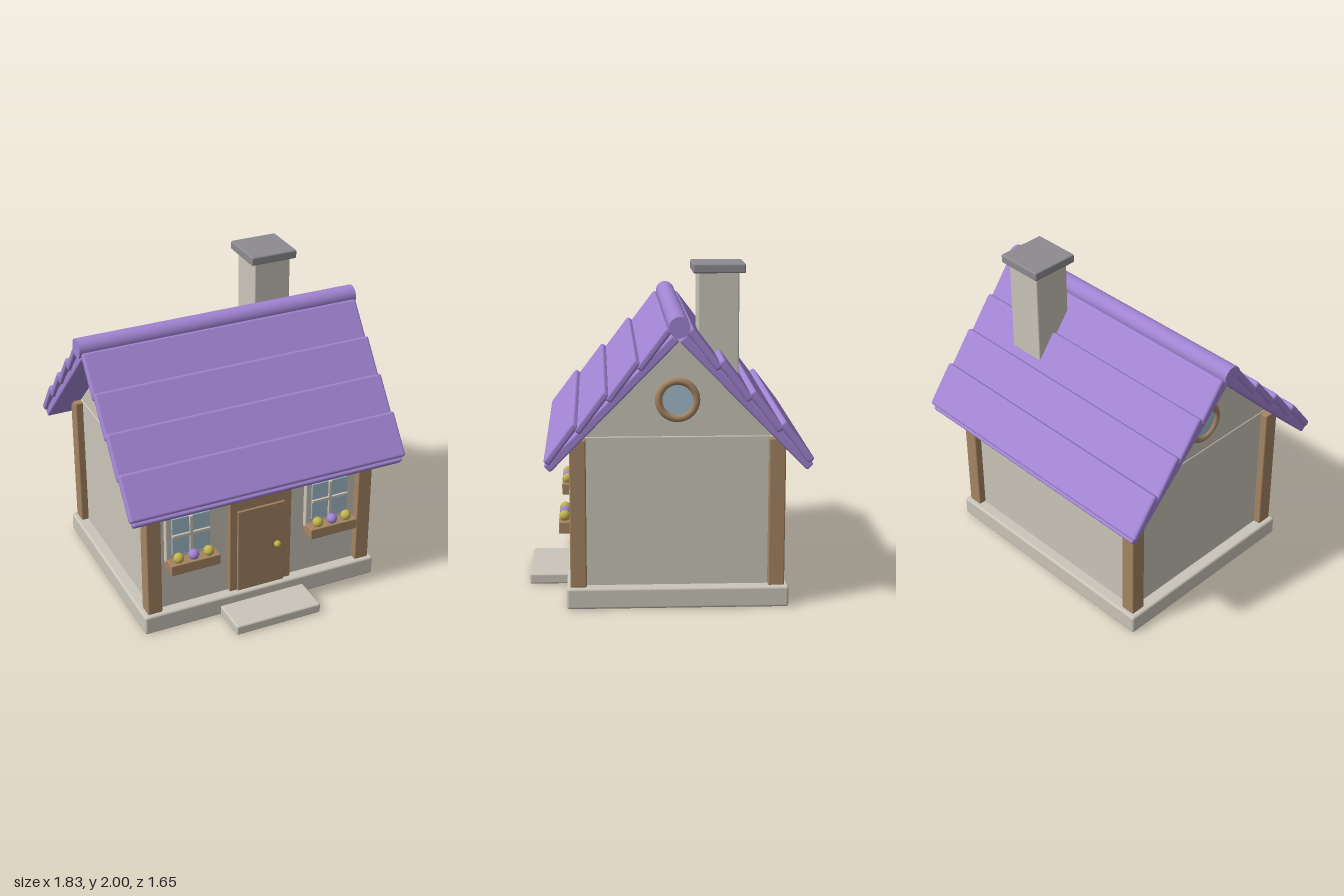
import * as THREE from 'three';
import { RoundedBoxGeometry } from 'three/addons/geometries/RoundedBoxGeometry.js';

const material = (name, color) => {
  const m = new THREE.MeshStandardMaterial({ color });
  m.name = name;
  return m;
};

export function createModel() {
  const house = new THREE.Group();
  house.name = 'cottage';
  const plaster = material('plaster', 0xcac5b9);
  const wood = material('wood', 0xa58463);
  const tile = material('roofTile', 0xa184d2);
  const glass = material('glass', 0xa3bccb);
  const slate = material('slate', 0x8d8b90);
  const yellow = material('yellow', 0xc2b44c);
  const CZ = -0.053; // ridge line depth

  const add = (name, geometry, mat, x, y, z, parent = house) => {
    const mesh = new THREE.Mesh(geometry, mat);
    mesh.name = name;
    mesh.position.set(x, y, z);
    parent.add(mesh);
    return mesh;
  };
  // Softly bevelled box given by its extents
  const box = (name, mat, [x0, x1], [y0, y1], [z0, z1], r = 0.008, parent = house) =>
    add(name, new RoundedBoxGeometry(x1 - x0, y1 - y0, z1 - z0, 2, r), mat,
      (x0 + x1) / 2, (y0 + y1) / 2, (z0 + z1) / 2, parent);

  // Base and doorstep
  box('foundation', plaster, [-0.785, 0.785], [0.005, 0.13], [-0.705, 0.595], 0.015);
  box('doorstep', plaster, [-0.285, 0.285], [0.005, 0.07], [0.55, 0.83], 0.012);

  // Walls and gable prism
  box('walls', plaster, [-0.71, 0.71], [0.12, 1.02], [CZ - 0.58, CZ + 0.58]);
  const triangle = new THREE.Shape([
    new THREE.Vector2(-0.575, 1.015), new THREE.Vector2(0.575, 1.015), new THREE.Vector2(0, 1.6),
  ]);
  const gable = new THREE.ExtrudeGeometry(triangle, { depth: 1.41, bevelEnabled: false });
  gable.translate(0, 0, -0.705).rotateY(Math.PI / 2);
  add('gables', gable, plaster, 0, 0, CZ);

  // Corner posts
  for (const x of [-0.71, 0.71]) {
    for (const z of [CZ - 0.579, CZ + 0.579]) {
      box('cornerPost', wood, [x - 0.047, x + 0.047], [0.13, 1.01], [z - 0.048, z + 0.048]);
    }
  }

  // Roof: one slope built facing +z, then turned around for the back
  for (const turn of [0, Math.PI]) {
    const slope = new THREE.Group();
    slope.name = turn ? 'backRoof' : 'frontRoof';
    slope.position.z = CZ;
    slope.rotation.y = turn;
    house.add(slope);
    const slab = add('roofSlab', new RoundedBoxGeometry(1.77, 0.053, 1.045, 2, 0.012), tile,
      0, 1.242, 0.385, slope);
    slab.rotation.x = THREE.MathUtils.degToRad(45.5);
    for (let k = 0; k < 4; k++) {
      const course = add('shingleCourse', new RoundedBoxGeometry(1.81, 0.045, 0.285, 3, 0.016), tile,
        0, 1.02 + 0.178 * k, 0.67 - 0.176 * k, slope);
      course.rotation.x = THREE.MathUtils.degToRad(53);
    }
  }
  const ridge = new THREE.CylinderGeometry(0.06, 0.06, 1.83, 32).rotateZ(Math.PI / 2);
  add('ridgeRoll', ridge, tile, 0, 1.68, CZ);

  // Chimney
  box('chimney', plaster, [0.303, 0.543], [1.1, 1.96], [-0.42, -0.18]);
  box('chimneyCap', slate, [0.267, 0.572], [1.945, 2], [-0.455, -0.148], 0.01);

  // Round gable windows
  for (const side of [-1, 1]) {
    const ring = new THREE.TorusGeometry(0.109, 0.022, 12, 32).rotateY(Math.PI / 2);
    add('roundWindowFrame', ring, wood, side * 0.712, 1.234, CZ);
    const pane = new THREE.CylinderGeometry(0.095, 0.095, 0.02, 32).rotateZ(Math.PI / 2);
    add('roundWindowGlass', pane, glass, side * 0.707, 1.234, CZ);
  }

  // Door
  box('doorFrame', wood, [-0.207, 0.207], [0.13, 0.775], [0.5, 0.557], 0.005);
  box('doorPanel', wood, [-0.158, 0.158], [0.13, 0.705], [0.52, 0.57], 0.005);
  add('doorKnob', new THREE.SphereGeometry(0.022, 20, 14), yellow, 0.106, 0.412, 0.58);

  // Front windows with flower boxes
  for (const x of [-0.467, 0.467]) {
    const win = new THREE.Group();
    win.name = 'frontWindow';
    win.position.x = x;
    house.add(win);
    box('windowFrame', plaster, [-0.16, 0.16], [0.46, 0.803], [0.51, 0.56], 0.006, win);
    box('windowGlass', glass, [-0.124, 0.124], [0.515, 0.77], [0.53, 0.567], 0.006, win);
    box('uprightBar', plaster, [-0.011, 0.011], [0.515, 0.77], [0.55, 0.579], 0.004, win);
    box('crossBar', plaster, [-0.124, 0.124], [0.637, 0.659], [0.55, 0.579], 0.004, win);
    box('flowerBox', wood, [-0.16, 0.16], [0.42, 0.49], [0.52, 0.64], 0.006, win);
    [-0.098, 0, 0.098].forEach((fx, i) =>
      add('flower', new THREE.SphereGeometry(0.033, 20, 14), i === 1 ? tile : yellow, fx, 0.515, 0.605, win));
  }
  return house;
}
